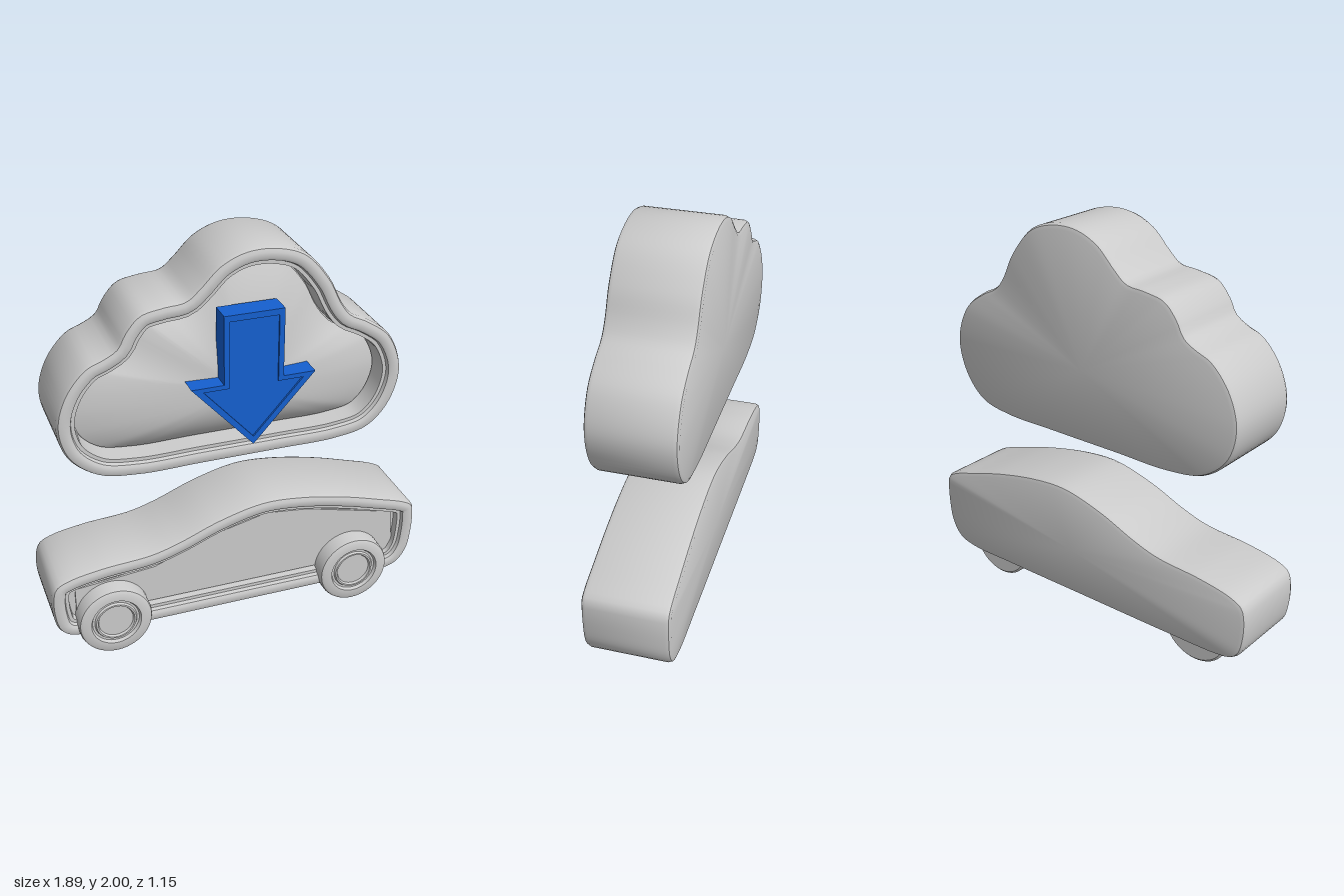
import * as THREE from 'three';
import { toCreasedNormals } from 'three/addons/utils/BufferGeometryUtils.js';

const grey = new THREE.MeshStandardMaterial({ color: 0xcccccc });
const blue = new THREE.MeshStandardMaterial({ color: 0x1560d0 });

function part(name, geometry, material = grey) {
  const mesh = new THREE.Mesh(geometry, material);
  mesh.name = name;
  return mesh;
}

// Closed smooth outline, counter-clockwise, with the inward normal of each point
function outline(points, n) {
  const curve = new THREE.CatmullRomCurve3(points.map(([x, y]) => new THREE.Vector3(x, y, 0)), true);
  const p = curve.getSpacedPoints(n).slice(0, n);
  return p.map((v, i) => {
    const t = p[(i + 1) % n].clone().sub(p[(i + n - 1) % n]).normalize();
    return { x: v.x, y: v.y, nx: -t.y, ny: t.x };
  });
}

// Skin through rings of [inset, depth, scale towards the centre]
function skin(loop, rings, [cx, cy], crease) {
  const n = loop.length, pos = [], index = [];
  rings.forEach(([inset, z, s = 1], k) => {
    loop.forEach((p, i) => {
      pos.push(cx + (p.x + p.nx * inset - cx) * s, cy + (p.y + p.ny * inset - cy) * s, z);
      if (k === rings.length - 1) return;
      const a = k * n + i, b = k * n + (i + 1) % n;
      if (s > 0) index.push(a, b, b + n);
      if ((rings[k + 1][2] ?? 1) > 0) index.push(a, b + n, a + n);
    });
  });
  const g = new THREE.BufferGeometry();
  g.setAttribute('position', new THREE.Float32BufferAttribute(pos, 3));
  g.setIndex(index);
  return toCreasedNormals(g, crease);
}

// Rounded slab with a raised rim, a ledge and a recessed floor
function rimmedSlab(loop, centre, floorInset, floorZ) {
  return skin(loop, [
    [0.025, -0.21, 0], [0.025, -0.21], [0.008, -0.203], [0, -0.185],
    [0, 0.185], [0.008, 0.203], [0.025, 0.21], [0.05, 0.21], [0.062, 0.203], [0.068, 0.185],
    [0.085, 0.185], [0.09, floorZ], [floorInset, floorZ], [floorInset, floorZ, 0],
  ], centre, 0.7);
}

function arrowShape(shaft, head, top, shoulder, tip) {
  const c = 0.033;
  return [[c, tip], [c + head, shoulder], [c + shaft, shoulder], [c + shaft, top],
    [c - shaft, top], [c - shaft, shoulder], [c - head, shoulder]].map(([x, y]) => new THREE.Vector2(x, y));
}

function extrude(shape, z, depth) {
  return new THREE.ExtrudeGeometry(shape, { depth, bevelEnabled: false }).translate(0, 0, z);
}

export function createModel() {
  const model = new THREE.Group();
  model.name = 'cloudAndCar';

  // Cloud: rimmed slab with a convex cushion inside
  const cloudLoop = outline([
    [-0.5, 0.965], [-0.2, 0.965], [0.2, 0.965], [0.48, 0.968], [0.65, 1.005], [0.76, 1.12], [0.806, 1.3],
    [0.74, 1.48], [0.62, 1.575], [0.535, 1.62], [0.487, 1.68], [0.42, 1.81], [0.3, 1.945], [0.16, 1.995],
    [0.02, 1.995], [-0.1, 1.945], [-0.2, 1.85], [-0.26, 1.802], [-0.36, 1.79], [-0.47, 1.765], [-0.54, 1.69],
    [-0.575, 1.625], [-0.63, 1.59], [-0.72, 1.55], [-0.82, 1.43], [-0.864, 1.27], [-0.82, 1.11], [-0.69, 1.0],
  ], 160);
  const cloudCentre = [0, 1.33];
  const cloud = new THREE.Group();
  cloud.name = 'cloud';
  cloud.add(part('cloudShell', rimmedSlab(cloudLoop, cloudCentre, 0.1, 0.07)));
  const dome = [];
  for (let i = 0; i <= 12; i++) {
    const s = 1 - i / 12;
    dome.push([0.095, 0.09 + 0.105 * (1 - s ** 2.5), s]);
  }
  cloud.add(part('cloudCushion', skin(cloudLoop, dome, cloudCentre, 1)));
  model.add(cloud);

  // Arrow: solid core with a slightly raised border
  const arrow = new THREE.Group();
  arrow.name = 'downArrow';
  const outer = arrowShape(0.143, 0.298, 1.735, 1.4, 1.07);
  const border = new THREE.Shape(outer);
  border.holes.push(new THREE.Path(arrowShape(0.118, 0.24, 1.705, 1.378, 1.11)));
  arrow.add(part('arrowCore', extrude(new THREE.Shape(outer), 0.165, 0.1), blue));
  arrow.add(part('arrowBorder', extrude(border, 0.265, 0.01), blue));
  model.add(arrow);

  // Car body: rimmed slab with a flat recessed side
  const car = new THREE.Group();
  car.name = 'car';
  const carLoop = outline([
    [-0.8, 0.11], [-0.5, 0.105], [0, 0.105], [0.5, 0.105], [0.78, 0.11], [0.875, 0.14], [0.93, 0.22],
    [0.95, 0.34], [0.95, 0.45], [0.94, 0.49], [0.89, 0.522], [0.75, 0.568], [0.56, 0.624], [0.35, 0.668],
    [0.17, 0.685], [0.06, 0.675], [-0.125, 0.625], [-0.32, 0.548], [-0.455, 0.51], [-0.7, 0.488],
    [-0.87, 0.455], [-0.932, 0.42], [-0.95, 0.36], [-0.948, 0.25], [-0.925, 0.165], [-0.88, 0.125],
  ], 160);
  car.add(part('carBody', rimmedSlab(carLoop, [0.08, 0.35], 0.095, 0.15)));

  // Side panel standing slightly proud of the recess
  const panel = new THREE.Shape([[-0.83, 0.2], [0.82, 0.2], [0.855, 0.27], [0.84, 0.44], [0.37, 0.56],
    [0.15, 0.585], [-0.12, 0.52], [-0.43, 0.4], [-0.83, 0.36]].map(([x, y]) => new THREE.Vector2(x, y)));
  car.add(part('sidePanel', extrude(panel, 0.1, 0.06)));

  // Wheels: wide rollers with a ringed hub on the front
  const profile = [[0, -0.17], [0.172, -0.17], [0.183, -0.16], [0.183, 0.228], [0.178, 0.242], [0.165, 0.25],
    [0.125, 0.25], [0.117, 0.235], [0.106, 0.235], [0.1, 0.246], [0.092, 0.246], [0.086, 0.235], [0, 0.235]];
  const wheel = toCreasedNormals(
    new THREE.LatheGeometry(profile.map(([r, z]) => new THREE.Vector2(r, z)), 48).rotateX(Math.PI / 2), 0.6);
  for (const [name, x] of [['frontWheel', -0.655], ['rearWheel', 0.607]]) {
    const w = part(name, wheel);
    w.position.set(x, 0.184, 0);
    car.add(w);
  }
  model.add(car);

  // The whole piece is turned about the vertical axis
  for (const child of model.children) child.rotation.y = 0.424;
  return model;
}
